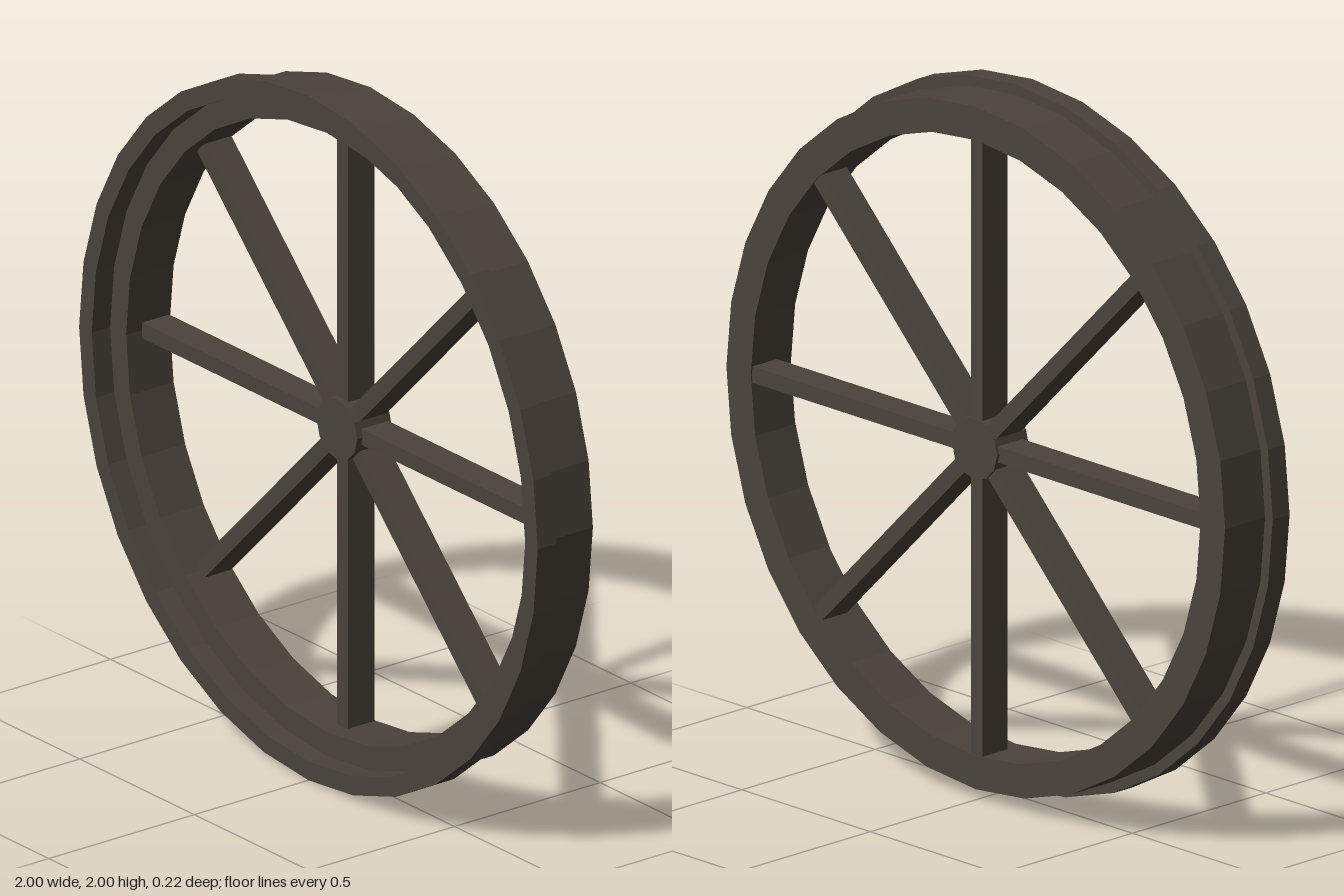
import * as THREE from 'three';

export function createModel() {
  const iron = new THREE.MeshStandardMaterial({ color: 0x4a433b, flatShading: true });
  iron.name = 'dark iron';

  const wheel = new THREE.Group();
  wheel.name = 'wheel';
  const add = (name, geometry) => {
    const mesh = new THREE.Mesh(geometry, iron);
    mesh.name = name;
    wheel.add(mesh);
    return mesh;
  };

  // Rim: tread ring with a raised flange at the front, as one closed L-shaped section
  const section = [
    [0.875, -0.105], [0.97, -0.105], [0.97, 0.045], [1, 0.045],
    [1, 0.108], [0.945, 0.108], [0.945, 0.045], [0.875, 0.045], [0.875, -0.105],
  ].map(([r, z]) => new THREE.Vector2(r, z));
  add('rim', new THREE.LatheGeometry(section, 32).rotateX(Math.PI / 2));

  // Hub
  const hubBack = -0.11, hubFront = 0.01;
  const hub = add('hub', new THREE.CylinderGeometry(0.088, 0.088, hubFront - hubBack, 12).rotateX(Math.PI / 2));
  hub.position.z = (hubFront + hubBack) / 2;

  // Eight spokes, set towards the back of the rim
  const inner = 0.05, outer = 0.89;
  const spoke = new THREE.BoxGeometry(outer - inner, 0.046, 0.092)
    .translate((inner + outer) / 2, 0, -0.055);
  for (let i = 0; i < 8; i++) {
    add('spoke', spoke).rotation.z = (i * Math.PI) / 4;
  }

  wheel.position.y = 1;
  const model = new THREE.Group();
  model.name = 'spokedWheel';
  model.add(wheel);
  return model;
}
